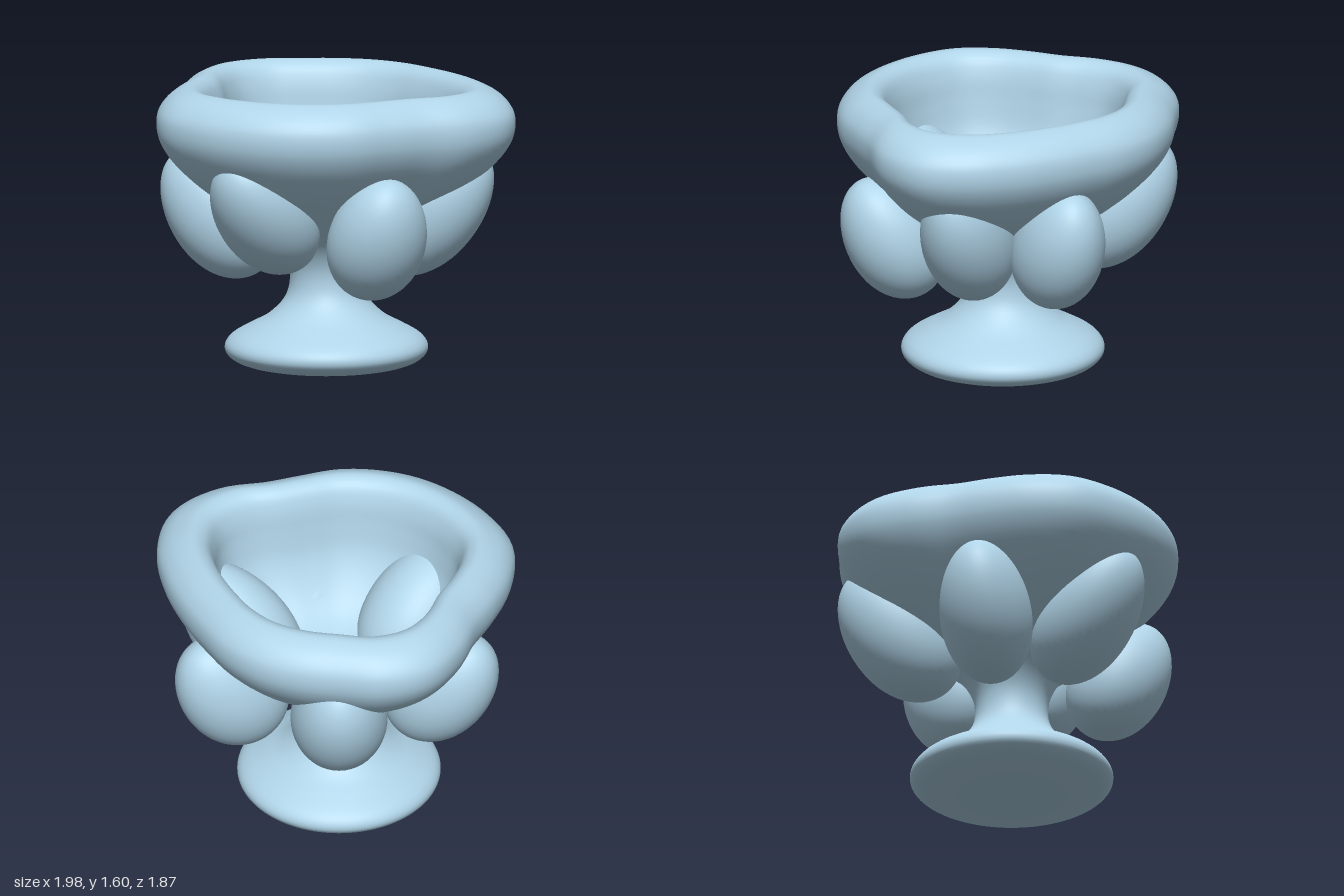
import * as THREE from 'three';
import { mergeVertices } from 'three/addons/utils/BufferGeometryUtils.js';

const CX = -0.075, CZ = -0.01; // axis of the stem

// Rim radius every 15 degrees, measured from +x towards +z
const RIM = [1.07, 1.005, 0.89, 0.867, 0.898, 0.92, 0.94, 0.955, 0.975, 0.99, 0.945, 0.892,
  0.875, 0.947, 1.015, 1.01, 0.95, 0.937, 0.93, 0.91, 0.89, 0.908, 0.96, 1.03];

// Smooth periodic interpolation of the rim radius
function rimRadius(angle) {
  const n = RIM.length;
  const s = ((angle / (Math.PI * 2)) * n + n) % n;
  const i = Math.floor(s), t = s - i;
  const [a, b, c, d] = [-1, 0, 1, 2].map((k) => RIM[(i + k + n) % n]);
  return b + 0.5 * t * (c - a + t * (2 * a - 5 * b + 4 * c - d + t * (3 * (b - c) + d - a)));
}

function smooth(geometry) {
  geometry.deleteAttribute('uv');
  geometry.deleteAttribute('normal');
  const merged = mergeVertices(geometry, 1e-5);
  merged.computeVertexNormals();
  return merged;
}

// Foot, stem and bowl in one turned profile; the bowl follows the wavy rim
function gobletGeometry() {
  const profile = [
    [0, 0], [0.3, 0.02], [0.495, 0.06], [0.55, 0.105], [0.555, 0.145], [0.525, 0.19],
    [0.425, 0.25], [0.325, 0.305], [0.235, 0.395], [0.203, 0.48], [0.21, 0.6], [0.285, 0.735],
    [0.45, 0.865], [0.61, 0.98], [0.745, 1.09], [0.868, 1.22], [0.925, 1.32], [0.94, 1.4],
    [0.93, 1.47], [0.885, 1.535], [0.82, 1.58], [0.75, 1.6], [0.685, 1.565], [0.645, 1.47],
    [0.625, 1.34], [0.59, 1.18], [0.5, 1.02], [0.38, 0.9], [0.2, 0.81], [0, 0.77],
  ].map(([r, y]) => new THREE.Vector3(r, y, 0));
  const points = new THREE.CatmullRomCurve3(profile, false, 'centripetal').getPoints(116)
    .map((p) => new THREE.Vector2(Math.max(p.x, 0), p.y));
  const geometry = new THREE.LatheGeometry(points, 120);
  const pos = geometry.attributes.position;
  for (let i = 0; i < pos.count; i++) {
    const x = pos.getX(i), y = pos.getY(i), z = pos.getZ(i);
    const wave = rimRadius(Math.atan2(z, x)) / 0.94;
    const k = 1 + (wave - 1) * THREE.MathUtils.smoothstep(y, 0.45, 1.1);
    pos.setXYZ(i, x * k, y, z * k);
  }
  return smooth(geometry);
}

// Egg-shaped lump, slightly fuller at its lower end
function lumpGeometry() {
  const geometry = new THREE.SphereGeometry(1, 48, 32);
  const pos = geometry.attributes.position;
  for (let i = 0; i < pos.count; i++) {
    const y = pos.getY(i), k = 1 - 0.08 * y;
    pos.setXYZ(i, pos.getX(i) * k, y, pos.getZ(i) * k);
  }
  return smooth(geometry);
}

export function createModel() {
  const group = new THREE.Group();
  const material = new THREE.MeshStandardMaterial({ color: 0xb0d4e8 });

  const goblet = new THREE.Mesh(gobletGeometry(), material);
  goblet.name = 'goblet';
  goblet.position.set(CX, 0, CZ);
  group.add(goblet);

  // Lumps around the bowl: centre, half width, half length, half depth, tilt in degrees
  const lumps = [
    [0.505, 0.925, -0.08, 0.25, 0.44, 0.28, 48],
    [0.385, 0.83, 0.44, 0.27, 0.375, 0.26, 60],
    [-0.25, 0.94, 0.525, 0.27, 0.42, 0.25, 45],
    [-0.67, 0.86, 0.09, 0.25, 0.4, 0.275, 53],
    [-0.385, 0.96, -0.55, 0.265, 0.42, 0.285, 52],
    [0.305, 0.885, -0.54, 0.24, 0.39, 0.29, 55],
  ];
  const egg = lumpGeometry();
  for (const [x, y, z, width, length, depth, tilt] of lumps) {
    const lump = new THREE.Mesh(egg, material);
    lump.name = 'lump';
    const e = THREE.MathUtils.degToRad(tilt);
    const out = new THREE.Vector3(x - CX, 0, z - CZ).normalize();
    const side = new THREE.Vector3(out.z, 0, -out.x);
    const along = out.multiplyScalar(Math.cos(e)).setY(Math.sin(e));
    const normal = side.clone().cross(along);
    lump.quaternion.setFromRotationMatrix(new THREE.Matrix4().makeBasis(side, along, normal));
    lump.scale.set(width, length, depth);
    lump.position.set(x, y, z);
    group.add(lump);
  }
  return group;
}
